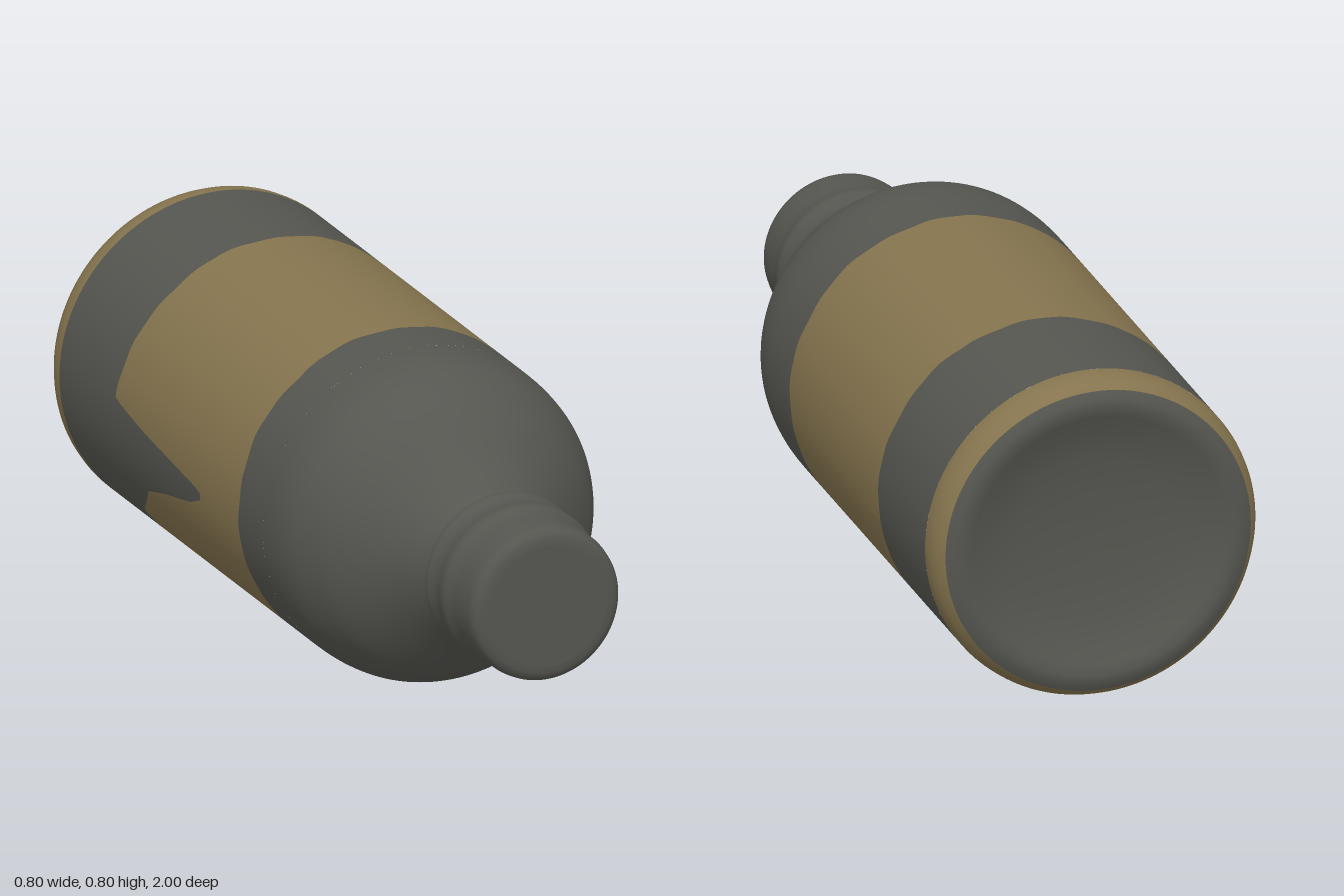
import * as THREE from 'three';

const R = 0.4;          // body radius
const SEGMENTS = 144;

// Label edges: [angle in degrees around the axis from +x, z]
const LABEL_FRONT = [[0, 0.12], [180, 0.12], [265, 0.12], [272, 0.1], [280, 0.04], [288, -0.02],
  [295, -0.03], [300, 0.05], [305, 0.12], [360, 0.12]];
const LABEL_BACK = [[0, -0.555], [90, -0.565], [150, -0.58], [173, -0.6], [177, -0.44], [183, -0.1],
  [186, -0.1], [190, -0.17], [195, -0.33], [200, -0.45], [217, -0.6], [270, -0.58], [320, -0.55], [360, -0.555]];

// Piecewise linear lookup with a slight waviness
function edge(table, deg) {
  const a = (deg + 720) % 360;
  let i = 0;
  while (i < table.length - 2 && table[i + 1][0] < a) i++;
  const [a0, z0] = table[i], [a1, z1] = table[i + 1];
  const wave = 0.003 * Math.sin(a * Math.PI / 180 * 9) + 0.002 * Math.sin(a * Math.PI / 180 * 23);
  return z0 + (z1 - z0) * (a - a0) / (a1 - a0) + wave;
}

export function createModel() {
  const dark = new THREE.MeshStandardMaterial({ color: 0x555650 });
  dark.name = 'dark grey';
  const gold = new THREE.MeshStandardMaterial({ color: 0x85744e });
  gold.name = 'label gold';

  const group = new THREE.Group();
  group.name = 'bottle';

  function add(name, geometry, material) {
    geometry.rotateX(Math.PI / 2);   // lay the axis along z
    const mesh = new THREE.Mesh(geometry, material);
    mesh.name = name;
    mesh.position.y = R;
    group.add(mesh);
    return mesh;
  }

  // Turned part from [radius, z] points, back to front
  function turned(name, points, material) {
    return add(name, new THREE.LatheGeometry(points.map(([r, z]) => new THREE.Vector2(r, z)), SEGMENTS), material);
  }

  // Cylindrical band whose two rims follow edge functions of the angle
  function band(name, backZ, frontZ, material) {
    const mesh = add(name, new THREE.CylinderGeometry(R, R, 1, SEGMENTS * 2, 1, true), material);
    const pos = mesh.geometry.attributes.position;
    for (let i = 0; i < pos.count; i++) {
      const deg = THREE.MathUtils.radToDeg(Math.atan2(pos.getY(i), pos.getX(i)));
      pos.setZ(i, pos.getZ(i) > 0 ? frontZ(deg) : backZ(deg));
    }
  }

  // Hollow base and its coloured rim
  turned('base', [[0, -0.945], [0.1, -0.947], [0.2, -0.957], [0.27, -0.975], [0.31, -0.993],
    [0.335, -1], [0.355, -0.997], [0.374, -0.987]], dark);
  turned('baseRim', [[0.374, -0.987], [0.388, -0.972], [0.397, -0.95], [R, -0.93], [R, -0.912]], gold);

  // Straight body: lower band, label, upper band
  const labelFront = (a) => edge(LABEL_FRONT, a);
  const labelBack = (a) => edge(LABEL_BACK, a);
  band('lowerBody', () => -0.912, labelBack, dark);
  band('label', labelBack, labelFront, gold);
  band('upperBody', labelFront, () => 0.26, dark);

  // Shoulder and neck
  const shoulder = new THREE.SplineCurve([[R, 0.26], [0.398, 0.32], [0.388, 0.38], [0.363, 0.44], [0.325, 0.5],
    [0.23, 0.595], [0.178, 0.655], [0.16, 0.685], [0.155, 0.71], [0.155, 0.75]]
    .map(([r, z]) => new THREE.Vector2(r, z))).getPoints(40);
  turned('shoulder', shoulder.map((p) => [Math.min(p.x, R), p.y]), dark);

  // Cap: underside, ribbed skirt, rounded top
  turned('capUnderside', [[0.15, 0.742], [0.197, 0.738]], dark);
  turned('capSkirt', [[0.197, 0.738], [0.2, 0.745], [0.198, 0.758], [0.192, 0.772], [0.191, 0.79], [0.193, 0.81],
    [0.199, 0.826], [0.2, 0.842], [0.198, 0.858], [0.191, 0.872], [0.19, 0.9], [0.19, 0.965],
    [0.187, 0.982], [0.179, 0.994], [0.165, 0.999], [0.15, 1]], dark);
  turned('capTop', [[0.15, 1], [0, 1]], dark);

  // Two small marks on the underside of the label
  for (const [deg, z] of [[-67, -0.135], [-78, -0.19]]) {
    const arc = THREE.MathUtils.degToRad(5);
    const start = THREE.MathUtils.degToRad(deg + 90) - arc / 2;
    const mark = add('labelMark', new THREE.CylinderGeometry(R + 0.001, R + 0.001, 0.03, 4, 1, true, start, arc), dark);
    mark.position.z = z;
  }
  return group;
}
